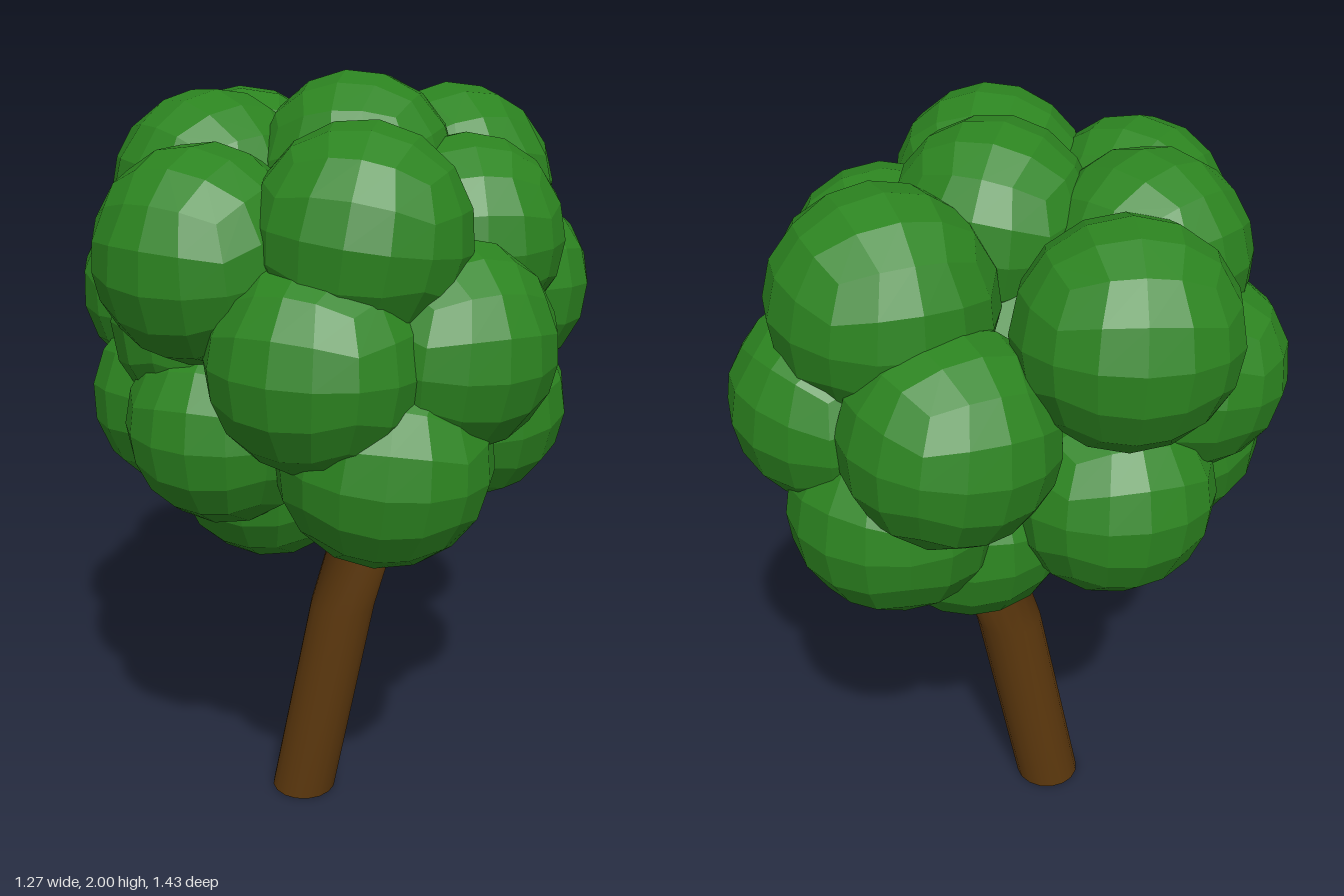
import * as THREE from 'three';
import { mergeVertices } from 'three/addons/utils/BufferGeometryUtils.js';

const leafGreen = new THREE.MeshStandardMaterial({ color: 0x2c8420 });
leafGreen.name = 'leafGreen';
const barkBrown = new THREE.MeshStandardMaterial({ color: 0x5b370d });
barkBrown.name = 'barkBrown';

// Faceted ball: a subdivided cube pushed out to a unit sphere with even angles
function makeBall() {
  const geo = new THREE.BoxGeometry(2, 2, 2, 4, 4, 4).toNonIndexed();
  const { position: pos, normal } = geo.attributes;
  const v = new THREE.Vector3();
  const even = (t) => Math.tan((t * Math.PI) / 4);
  for (let i = 0; i < pos.count; i++) {
    v.fromBufferAttribute(pos, i);
    v.set(even(v.x), even(v.y), even(v.z)).normalize();
    pos.setXYZ(i, v.x, v.y, v.z);
  }
  // One flat normal for each four-sided facet (two triangles)
  const corner = new THREE.Vector3();
  for (let i = 0; i < pos.count; i += 6) {
    v.set(0, 0, 0);
    for (const k of [0, 1, 2, 4]) v.add(corner.fromBufferAttribute(pos, i + k));
    v.normalize();
    for (let k = 0; k < 6; k++) normal.setXYZ(i + k, v.x, v.y, v.z);
  }
  return geo;
}

// Bent trunk: level rings of equal radius skinned along a few points
function makeTrunk(points, radius, sides) {
  const geo = new THREE.CylinderGeometry(1, 1, 1, sides, points.length - 1, true);
  const pos = geo.attributes.position;
  for (let i = 0; i < pos.count; i++) {
    const ring = Math.round((pos.getY(i) + 0.5) * (points.length - 1));
    const [x, y, z] = points[ring];
    pos.setXYZ(i, x + pos.getX(i) * radius, y, z + pos.getZ(i) * radius);
  }
  geo.deleteAttribute('uv');
  geo.deleteAttribute('normal');
  const welded = mergeVertices(geo);
  welded.computeVertexNormals();
  return welded;
}

// Leaf clumps as [x, y, z, radius], from the crown down
const clumps = [
  // upper
  [0.085, 1.755, -0.015, 0.245],
  [-0.29, 1.65, -0.3, 0.263],
  [0.265, 1.67, -0.315, 0.268],
  [-0.275, 1.695, 0.01, 0.253],
  [-0.18, 1.63, 0.385, 0.253],
  [0.185, 1.69, 0.36, 0.253],
  [0.35, 1.615, -0.02, 0.248],
  // middle
  [0.375, 1.43, 0.29, 0.253],
  [0.385, 1.42, -0.335, 0.253],
  [0.11, 1.42, 0.465, 0.256],
  [-0.385, 1.44, -0.03, 0.253],
  [-0.22, 1.42, 0.2, 0.25],
  [0.075, 1.43, -0.46, 0.258],
  // lower
  [0.37, 1.18, -0.06, 0.25],
  [-0.16, 1.195, 0.29, 0.248],
  [0.25, 1.18, 0.39, 0.258],
  [-0.25, 1.18, -0.21, 0.255],
  [-0.325, 1.19, 0.09, 0.25],
  [0.235, 1.18, -0.39, 0.26],
  // underside
  [-0.11, 1.03, 0.1, 0.25],
  [0.1, 1.06, -0.225, 0.255],
  [0.13, 1.13, 0.08, 0.235],
  // hidden core
  [0, 1.42, 0, 0.33],
];

export function createModel() {
  const tree = new THREE.Group();
  tree.name = 'tree';

  // Trunk and its bottom cap
  const path = [[-0.05, 0, 0.01], [0.055, 0.58, -0.02], [0.1, 0.76, -0.05], [0.02, 1.0, -0.01]];
  const trunk = new THREE.Mesh(makeTrunk(path, 0.088, 16), barkBrown);
  trunk.name = 'trunk';
  const base = new THREE.Mesh(new THREE.CircleGeometry(0.088, 16), barkBrown);
  base.name = 'trunkBase';
  base.rotation.x = Math.PI / 2;
  base.position.set(...path[0]);
  tree.add(trunk, base);

  // Foliage
  const foliage = new THREE.Group();
  foliage.name = 'foliage';
  const ball = makeBall();
  clumps.forEach(([x, y, z, r], i) => {
    const clump = new THREE.Mesh(ball, leafGreen);
    clump.name = `leafClump${i + 1}`;
    clump.position.set(x, y, z);
    clump.scale.setScalar(r);
    clump.rotation.set(0.12 * Math.sin(i * 2.1), i * 1.9, 0.12 * Math.cos(i * 1.3));
    foliage.add(clump);
  });
  tree.add(foliage);
  return tree;
}
